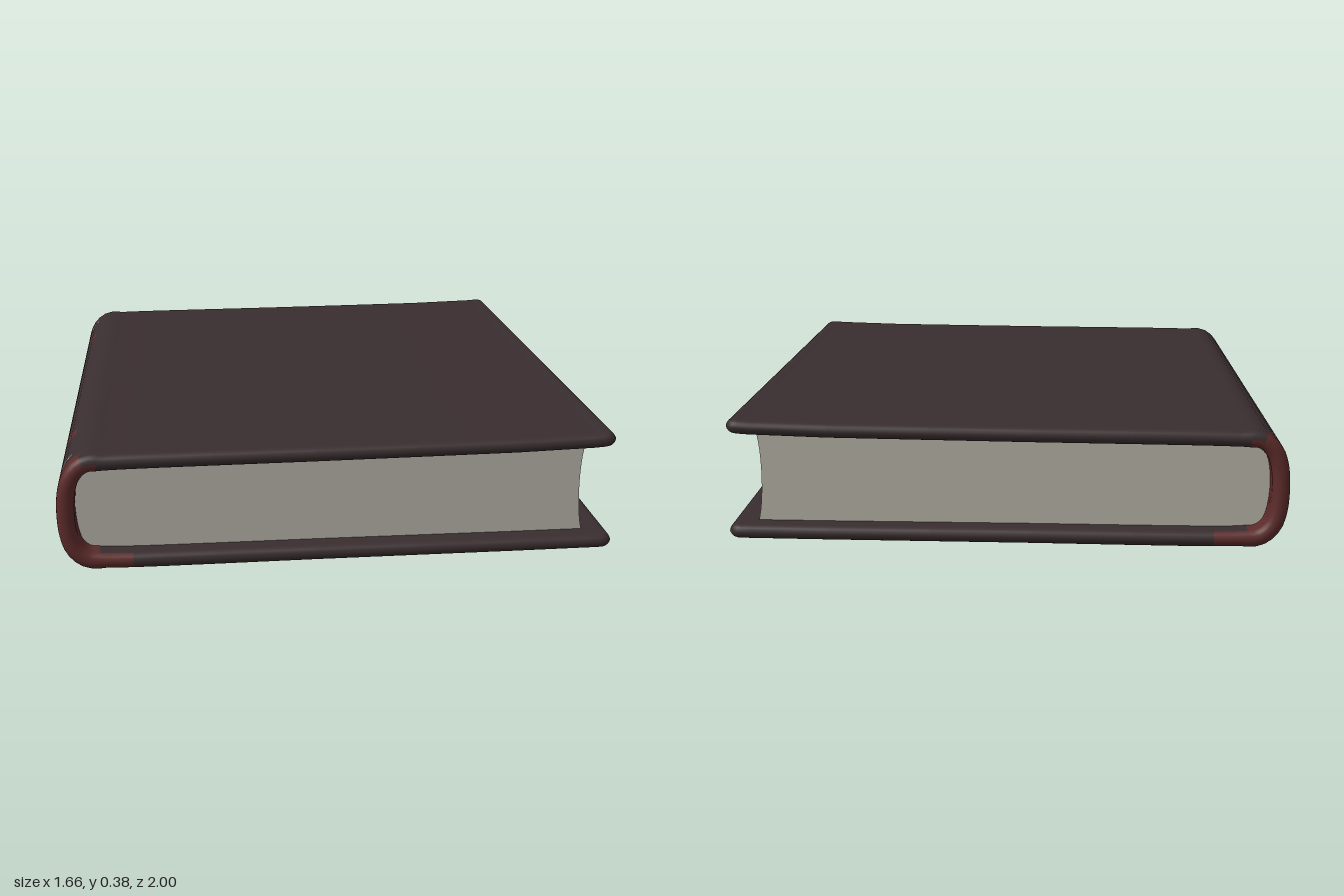
import * as THREE from 'three';
import { mergeVertices } from 'three/addons/utils/BufferGeometryUtils.js';

const mat = (name, color, side = THREE.FrontSide) => new THREE.MeshStandardMaterial({ name, color, side });

// Quarter-circle falloff from 0 at an edge to 1 at distance r
const round = (d, r) => (d >= r ? 1 : Math.sqrt(Math.max(0, 1 - (1 - d / r) ** 2)));

// Rounded slab that wraps from the top board around the spine to the bottom board
function coverGeometry() {
  const path = new THREE.CatmullRomCurve3([
    [0.83, 0.355], [0.7, 0.347], [0, 0.335], [-0.68, 0.326], [-0.745, 0.322], [-0.78, 0.292],
    [-0.797, 0.25], [-0.804, 0.18], [-0.797, 0.1], [-0.78, 0.058], [-0.745, 0.029],
    [-0.68, 0.024], [0, 0.028], [0.7, 0.033], [0.83, 0.035],
  ].map(([x, y]) => new THREE.Vector3(x, y, 0)));
  path.arcLengthDivisions = 1500;
  const length = path.getLength();

  // Sample distances, fine at the rims and around the spine
  const half = [0, 0.002, 0.006, 0.012, 0.018, 0.026, 0.04, 0.07, 0.3, 0.6, 0.9, 1.2, 1.35];
  for (let s = 1.4; s < length / 2 - 0.01; s += 0.02) half.push(s);
  const along = [...half, length / 2, ...half.map((s) => length - s).reverse()];
  const zHalf = [0, 0.3, 0.63, 0.69, 0.895, 0.903, 0.945, 0.974, 0.982, 0.988, 0.994, 0.998, 1];
  const across = [...zHalf.slice(1).map((z) => -z).reverse(), ...zHalf];
  const nz = across.length;

  const pos = [];
  for (const side of [1, -1]) {
    for (const s of along) {
      const u = Math.min(1, s / length);
      const p = path.getPointAt(u), t = path.getTangentAt(u);
      const ds = Math.max(0, Math.min(s, length - s));
      const reach = 1 - 0.035 * (1 - round(ds, 0.04)); // rounded board corners
      const thick = p.x < -0.7 ? 0.026 : 0.021 + 0.003 * (0.83 - p.x) / 1.53;
      for (const z of across) {
        const h = side * thick * round(ds, 0.026) * round(1 - Math.abs(z), 0.026);
        pos.push(p.x + t.y * h, p.y - t.x * h, z * reach);
      }
    }
  }

  // Faces sorted by colour: 0 dark cover, 1 worn red, 2 pale marks
  const faces = [[], [], []];
  const layer = along.length * nz;
  for (let k = 0; k < 2; k++) {
    for (let i = 0; i < along.length - 1; i++) {
      for (let j = 0; j < nz - 1; j++) {
        const a = k * layer + i * nz + j, b = a + nz, c = b + 1, d = a + 1;
        const x = (pos[a * 3] + pos[b * 3]) / 2, y = (pos[a * 3 + 1] + pos[b * 3 + 1]) / 2;
        const z = Math.abs(across[j] + across[j + 1]) / 2;
        let m = 0;
        if (x < -0.75 && z > 0.945) m = 1;
        if (x < -0.6 && y < 0.1 && z > 0.982) m = 1;
        if (x < -0.785 && z > 0.63 && z < 0.69 && y > 0.06) m = 1;
        if (k === 0 && x < -0.79 && z > 0.895 && z < 0.903 && y > 0.15) m = 2;
        if (k === 1 && x < -0.7 && z > 0.9) m = 1;
        faces[m].push(...(k === 0 ? [a, b, c, a, c, d] : [a, c, b, a, d, c]));
      }
    }
  }
  let geo = new THREE.BufferGeometry();
  geo.setAttribute('position', new THREE.Float32BufferAttribute(pos, 3));
  geo.setIndex(faces.flat());
  let start = 0;
  faces.forEach((f, m) => {
    geo.addGroup(start, f.length, m);
    start += f.length;
  });
  geo = mergeVertices(geo, 1e-5);
  geo.computeVertexNormals();
  return geo;
}

// Page block with a rounded back and a hollow fore edge
function pagesGeometry() {
  const s = new THREE.Shape();
  s.moveTo(-0.72, 0.035);
  s.lineTo(0.755, 0.04);
  s.bezierCurveTo(0.732, 0.09, 0.732, 0.28, 0.755, 0.34);
  s.lineTo(0, 0.325);
  s.lineTo(-0.72, 0.315);
  s.bezierCurveTo(-0.765, 0.29, -0.775, 0.26, -0.778, 0.18);
  s.bezierCurveTo(-0.775, 0.1, -0.765, 0.06, -0.72, 0.035);
  const geo = new THREE.ExtrudeGeometry(s, { depth: 1.856, bevelEnabled: false, curveSegments: 16 });
  geo.translate(0, 0, -0.928);
  return geo;
}

export function createModel() {
  const book = new THREE.Group();
  book.name = 'book';
  const dark = mat('dark leather', 0x392d2f);
  const red = mat('worn red', 0x5c2b2a);
  const paper = mat('paper', 0xb3afa5);

  const cover = new THREE.Mesh(coverGeometry(), [dark, red, paper]);
  cover.name = 'cover';
  const pages = new THREE.Mesh(pagesGeometry(), paper);
  pages.name = 'pages';
  book.add(cover, pages);
  return book;
}
